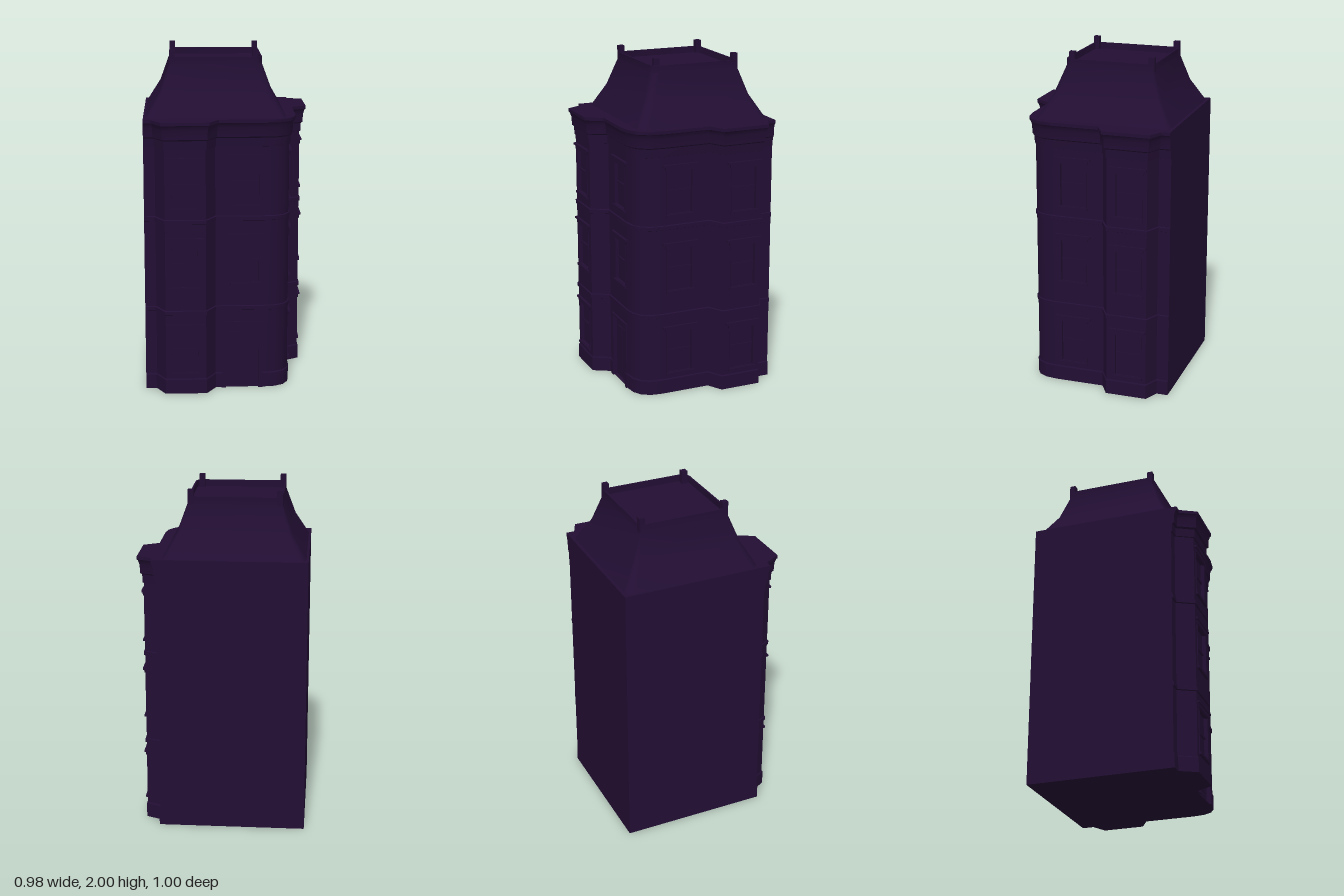
import * as THREE from 'three';
import { toCreasedNormals } from 'three/addons/utils/BufferGeometryUtils.js';

const mat = new THREE.MeshStandardMaterial({ color: 0x220e33, side: THREE.DoubleSide });
const TOP = 1.625, LEFT = -0.49, BACK = -0.5, INSET = -0.035, RECESS = 0.02;

// Street-side eaves outline [x, z], from the front left corner round to the back right
const OUTLINE = [
  [LEFT, 0.4], [-0.445, 0.4], [-0.39, 0.5], [-0.112, 0.5], [-0.055, 0.4],
  [0.21, 0.4], [0.29, 0.389], [0.352, 0.352], [0.389, 0.29], [0.4, 0.21],
  [0.4, -0.073], [0.49, -0.125], [0.49, -0.41], [0.4, -0.45], [0.4, BACK],
];

function add(parent, name, geometry, x = 0, y = 0, z = 0) {
  const mesh = new THREE.Mesh(geometry, mat);
  mesh.name = name;
  mesh.position.set(x, y, z);
  parent.add(mesh);
  return mesh;
}

const box = (parent, name, w, h, d, x, y, z) => add(parent, name, new THREE.BoxGeometry(w, h, d), x, y, z);

// Mitred offset of an open path, positive outwards
function offset(path, d) {
  const normal = (a, b) => {
    const l = Math.hypot(b[0] - a[0], b[1] - a[1]);
    return [-(b[1] - a[1]) / l, (b[0] - a[0]) / l];
  };
  return path.map((p, i) => {
    const n1 = normal(path[Math.max(i - 1, 0)], path[Math.max(i, 1)]);
    const last = path.length - 1;
    const n2 = normal(path[Math.min(i, last - 1)], path[Math.min(i + 1, last)]);
    const k = d / (1 + n1[0] * n2[0] + n1[1] * n2[1]);
    return [p[0] + (n1[0] + n2[0]) * k, p[1] + (n1[1] + n2[1]) * k];
  });
}

// Skin between stacked cross-sections {y, points}; caps close the two cut ends
function loft(rings, { closed = false, caps = false, crease = 0.6 } = {}) {
  const pos = [];
  const n = rings[0].points.length;
  const v = (i, j) => {
    const p = rings[i].points[j % n];
    return [p[0], rings[i].y, p[1]];
  };
  for (let i = 0; i < rings.length - 1; i++) {
    for (let j = 0; j < (closed ? n : n - 1); j++) {
      const a = v(i, j), b = v(i, j + 1), c = v(i + 1, j + 1), d = v(i + 1, j);
      pos.push(...a, ...b, ...c, ...a, ...c, ...d);
    }
  }
  if (caps) {
    const m = rings.length - 1;
    for (let i = 0; i < m - 1; i++) {
      pos.push(...v(m, 0), ...v(i, 0), ...v(i + 1, 0));
      pos.push(...v(m, n - 1), ...v(i + 1, n - 1), ...v(i, n - 1));
    }
  }
  const g = new THREE.BufferGeometry();
  g.setAttribute('position', new THREE.Float32BufferAttribute(pos, 3));
  return toCreasedNormals(g, crease);
}

// Moulding: a profile of [offset, y] swept along a path
const moulding = (profile, path) =>
  loft(profile.map(([d, y]) => ({ y, points: offset(path, d) })), { caps: true });

// Horizontal face filling an outline
function slab(points, y, up) {
  const s = new THREE.Shape(points.map(([x, z]) => new THREE.Vector2(x, up ? -z : z)));
  return new THREE.ShapeGeometry(s).rotateX(up ? -Math.PI / 2 : Math.PI / 2).translate(0, y, 0);
}

function rect(Type, x0, x1, y0, y1) {
  return new Type([[x0, y0], [x1, y0], [x1, y1], [x0, y1]].map(p => new THREE.Vector2(...p)));
}

const extrude = (shape, depth) => new THREE.ExtrudeGeometry(shape, { depth, bevelEnabled: false });

// Recessed sash with surround, sill and flared lintel
function addWindow(facade, u, y0) {
  const g = new THREE.Group();
  g.name = 'window';
  g.position.set(u, y0, 0);
  facade.add(g);
  const w = 0.075, h = 0.265;
  box(g, 'glass', 2 * w, h, 0.004, 0, h / 2, -RECESS);
  box(g, 'meetingRail', 2 * w, 0.012, 0.01, 0, h * 0.53, -RECESS + 0.005);
  const surround = rect(THREE.Shape, -0.085, 0.085, -0.004, h + 0.004);
  surround.holes.push(rect(THREE.Path, -w, w, 0.006, h - 0.004));
  add(g, 'surround', extrude(surround, 0.011), 0, 0, -0.006);
  box(g, 'sill', 0.18, 0.014, 0.022, 0, -0.004, 0.003);
  const lintel = new THREE.Shape(
    [[-0.09, 0], [0.09, 0], [0.1, 0.026], [-0.1, 0.026]].map(p => new THREE.Vector2(...p)));
  add(g, 'lintel', extrude(lintel, 0.01), 0, h, 0);
  box(g, 'lintelCap', 0.22, 0.012, 0.016, 0, h + 0.03, 0.008);
}

// Recessed two-panel door with posts
function addDoor(facade, u) {
  const g = new THREE.Group();
  g.name = 'door';
  g.position.set(u, 0, 0);
  facade.add(g);
  box(g, 'doorLeaf', 0.2, 0.395, 0.006, 0, 0.2, -RECESS);
  for (const s of [-1, 1]) {
    box(g, 'doorPost', 0.018, 0.4, 0.014, s * 0.106, 0.2, 0.002);
    box(g, 'postBase', 0.026, 0.09, 0.02, s * 0.11, 0.045, 0.003);
    box(g, 'doorPanel', 0.07, 0.28, 0.006, s * 0.045, 0.2, -RECESS + 0.004);
  }
  box(g, 'doorHead', 0.23, 0.014, 0.016, 0, 0.403, 0.003);
}

// Flat wall between a and b with openings cut through it
function addFacade(root, a, b, centre, hasDoor) {
  const g = new THREE.Group();
  g.name = 'facade';
  g.position.set(a[0], 0, a[1]);
  g.rotation.y = Math.atan2(a[1] - b[1], b[0] - a[0]);
  root.add(g);
  const wall = rect(THREE.Shape, 0, Math.hypot(b[0] - a[0], b[1] - a[1]), 0, TOP - 0.01);
  [0.125, 0.645, 1.115].forEach((y, floor) => {
    if (hasDoor && floor === 0) {
      const u = centre - 0.022;
      wall.holes.push(rect(THREE.Path, u - 0.1, u + 0.1, 0.004, 0.397));
      addDoor(g, u);
    } else {
      wall.holes.push(rect(THREE.Path, centre - 0.077, centre + 0.077, y, y + 0.265));
      addWindow(g, centre, y);
    }
  });
  add(g, 'wallPanel', extrude(wall, RECESS), 0, 0, -RECESS);
}

// Rectangle with rounded corners; radii: front left, front right, back right, back left
function roundedRing(y, x0, x1, z0, z1, radii) {
  const corners = [[x0, z1, 1, -1], [x1, z1, -1, -1], [x1, z0, -1, 1], [x0, z0, 1, 1]];
  const points = [];
  corners.forEach(([x, z, sx, sz], k) => {
    for (let i = 0; i <= 4; i++) {
      const t = Math.PI - k * Math.PI / 2 - i * Math.PI / 8, r = radii[k];
      points.push([x + sx * r + r * Math.cos(t), z + sz * r - r * Math.sin(t - Math.PI)]);
    }
  });
  // Quarter arcs run from side to side in the same sense as the outline
  const ordered = [];
  for (let k = 0; k < 4; k++) {
    const [x, z, sx, sz] = corners[k], r = radii[k];
    const start = [Math.PI, Math.PI / 2, 0, -Math.PI / 2][k];
    for (let i = 0; i <= 4; i++) {
      const t = start - i * Math.PI / 8;
      ordered.push([x + sx * r + r * Math.cos(t), z + sz * r + r * Math.sin(t)]);
    }
  }
  return { y, points: ordered };
}

export function createModel() {
  const root = new THREE.Group();
  root.name = 'cornerTownhouse';

  // Street walls: windowed facades, plain strips elsewhere
  const wall = offset(OUTLINE, INSET);
  const facades = { 2: -0.255, 4: 0.105, 9: 0.095, 11: -0.275 };
  for (const [i, c] of Object.entries(facades).map(([k, v]) => [+k, v])) {
    const u = i < 6 ? c - wall[i][0] : wall[i][1] - c;
    addFacade(root, wall[i], wall[i + 1], u, i === 4);
  }
  const strip = points => loft([{ y: 0, points }, { y: TOP, points }]);
  for (const [from, to] of [[0, 2], [3, 4], [5, 9], [10, 11], [12, 14]]) {
    add(root, 'plainWall', strip(wall.slice(from, to + 1)));
  }

  // Blank rear and party walls, floor and eaves deck
  const corner = [LEFT, BACK];
  add(root, 'rearWalls', strip([wall[14], corner, wall[0]]));
  add(root, 'floor', slab([...wall, corner], 0, false));
  add(root, 'eavesDeck', slab([...OUTLINE, corner], TOP, true));

  // Plinth, broken at the door
  const plinth = [[INSET, 0], [-0.029, 0], [-0.029, 0.085], [INSET, 0.092]];
  add(root, 'plinth', moulding(plinth, [...OUTLINE.slice(0, 5), [-0.035, 0.4]]));
  add(root, 'plinth', moulding(plinth, [[0.195, 0.4], ...OUTLINE.slice(5)]));

  // String courses and cornice
  for (const y of [0.48, 1.025]) {
    add(root, 'stringCourse', moulding(
      [[INSET, y], [-0.028, y + 0.003], [-0.028, y + 0.026], [INSET, y + 0.03]], OUTLINE));
  }
  add(root, 'cornice', moulding([
    [INSET, 1.463], [-0.029, 1.465], [-0.027, 1.515], [-0.017, 1.523], [-0.014, 1.575],
    [-0.006, 1.6], [0, 1.606], [0, TOP], [INSET, TOP],
  ], OUTLINE));

  // Mansard roof rising into a hollow parapet
  add(root, 'mansardRoof', loft([
    roundedRing(1.62, -0.48, 0.342, -0.485, 0.337, [0.05, 0.05, 0.05, 0.05]),
    roundedRing(1.76, -0.395, 0.262, -0.4, 0.258, [0.03, 0.05, 0.03, 0.03]),
    roundedRing(1.92, -0.338, 0.204, -0.343, 0.198, [0.008, 0.05, 0.008, 0.008]),
    roundedRing(1.96, -0.338, 0.204, -0.343, 0.198, [0.008, 0.05, 0.008, 0.008]),
    roundedRing(1.96, -0.328, 0.194, -0.333, 0.188, [0.004, 0.04, 0.004, 0.004]),
    roundedRing(1.92, -0.328, 0.194, -0.333, 0.188, [0.004, 0.04, 0.004, 0.004]),
  ], { closed: true }));
  add(root, 'roofDeck', slab(roundedRing(0, -0.33, 0.196, -0.335, 0.19, [0.004, 0.04, 0.004, 0.004]).points, 1.922, true));
  for (const [x, z] of [[-0.321, -0.328], [0.186, -0.328], [-0.321, 0.181], [0.165, 0.16]]) {
    box(root, 'parapetPost', 0.034, 0.09, 0.034, x, 1.955, z);
  }
  return root;
}
